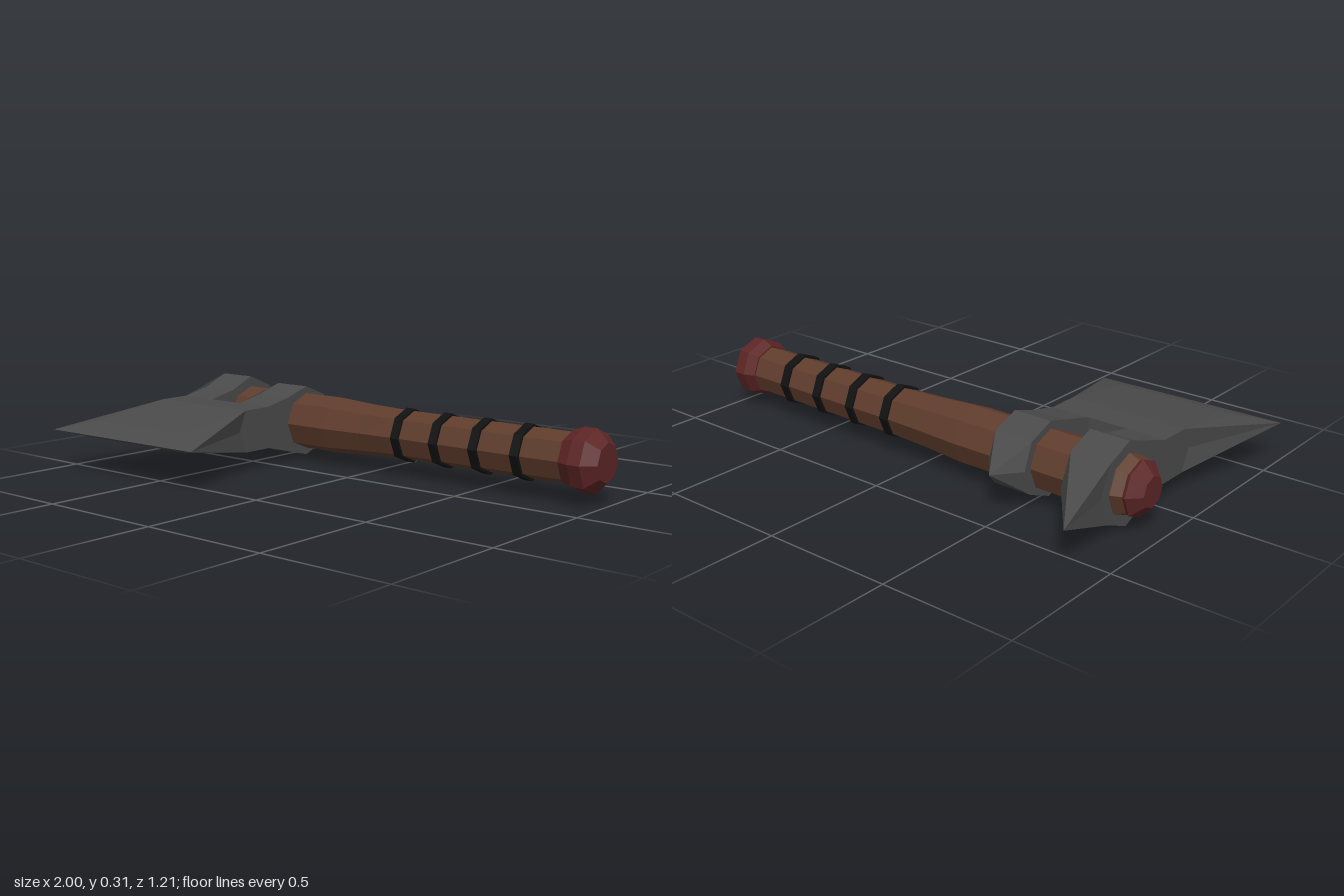
import * as THREE from 'three';

const mat = (color) => {
  const m = new THREE.MeshStandardMaterial({ color });
  m.flatShading = true;
  return m;
};

// Eight-sided turned part along x; profile is [x, radius] from -x to +x
function turned(name, profile, material) {
  const pts = profile.map(([x, r]) => new THREE.Vector2(r, x));
  const mesh = new THREE.Mesh(new THREE.LatheGeometry(pts, 8), material);
  mesh.rotation.z = -Math.PI / 2;
  mesh.position.z = -0.197;
  mesh.name = name;
  return mesh;
}

// Faceted solid: upper-half polygons (counter-clockwise outside), mirrored below y = 0
function faceted(name, faces, material) {
  const pos = [];
  for (const f of faces) {
    const low = f.map(([x, y, z]) => [x, -y, z]).reverse();
    for (const p of [f, low])
      for (let i = 1; i < p.length - 1; i++) pos.push(...p[0], ...p[i], ...p[i + 1]);
  }
  const g = new THREE.BufferGeometry();
  g.setAttribute('position', new THREE.Float32BufferAttribute(pos, 3));
  g.computeVertexNormals();
  const mesh = new THREE.Mesh(g, material);
  mesh.name = name;
  return mesh;
}

// Collar round the handle, ending in a point at the back
function collar(name, xl, xr, peak, zMid, hBack, tip, material) {
  const prof = [[0.03, 0.083], [-0.09, 0.108], [-0.197, peak], [-0.305, hBack]];
  const faces = [];
  for (let i = 0; i < prof.length - 1; i++) {
    const [z0, h0] = prof[i], [z1, h1] = prof[i + 1];
    faces.push([[xl, h0, z0], [xr, h0, z0], [xr, h1, z1], [xl, h1, z1]]);
  }
  const side = (x) => [[x, 0, 0.03], [x, 0, zMid], ...prof.slice().reverse().map(([z, h]) => [x, h, z])];
  faces.push(side(xr), side(xl).reverse());
  const [zb, hb] = prof[3];
  faces.push(
    [[xl, hb, zb], [xr, hb, zb], tip],
    [[xr, hb, zb], [xr, 0, zMid], tip],
    [tip, [xl, 0, zMid], [xl, hb, zb]]
  );
  return faceted(name, faces, material);
}

// Plate joining the collars, flaring into a bevelled cutting edge
function blade(material) {
  const xl = -0.857, xr = -0.385, h = 0.083, z0 = 0.03, z1 = 0.155;
  const TL = [xl, h, z1], TR = [xr, h, z1];
  const ML = [xl, 0, 0.19], MR = [xr, 0, 0.19];
  const BL = [-0.86, 0.036, 0.49], BR = [-0.375, 0.036, 0.48];
  const EL = [-1, 0, 0.605], ER = [-0.237, 0, 0.585];
  return faceted('blade', [
    [TL, TR, [xr, h, z0], [xl, h, z0]],
    [BL, BR, TR, TL],
    [EL, ER, BR, BL],
    [TL, EL, BL], [ER, TR, BR],
    [ER, MR, TR], [TL, ML, EL],
    [MR, [xr, 0, z0], [xr, h, z0], TR],
    [TL, [xl, h, z0], [xl, 0, z0], ML],
    [[xr, 0, z0], [xl, 0, z0], [xl, h, z0], [xr, h, z0]],
  ], material);
}

export function createModel() {
  const group = new THREE.Group();
  const wood = mat(0x5e3c2c), red = mat(0x5c2424), black = mat(0x111111), metal = mat(0x4a4a4a);

  // Handle with its two end caps
  group.add(
    turned('handle', [[-0.905, 0], [-0.905, 0.094], [-0.86, 0.113], [-0.2, 0.113], [-0.03, 0.102],
      [0.12, 0.096], [0.87, 0.094], [0.87, 0]], wood),
    turned('headCap', [[-0.955, 0], [-0.955, 0.057], [-0.912, 0.104], [-0.885, 0.09], [-0.885, 0]], red),
    turned('pommel', [[0.86, 0], [0.86, 0.1], [0.905, 0.117], [0.955, 0.117], [1, 0.072], [1, 0]], red)
  );

  // Grip rings
  for (const x of [0.15, 0.328, 0.505, 0.683]) {
    const a = x - 0.018, b = x + 0.018;
    group.add(turned('gripRing', [[a, 0.085], [a, 0.105], [b, 0.105], [b, 0.085]], black));
  }

  // Axe head
  group.add(
    collar('spikedCollar', -0.857, -0.7, 0.155, -0.355, 0.11, [-0.89, 0, -0.605], metal),
    collar('innerCollar', -0.54, -0.385, 0.141, -0.34, 0.098, [-0.463, 0, -0.437], metal),
    blade(metal)
  );

  for (const part of group.children) part.position.y = 0.155;
  return group;
}
